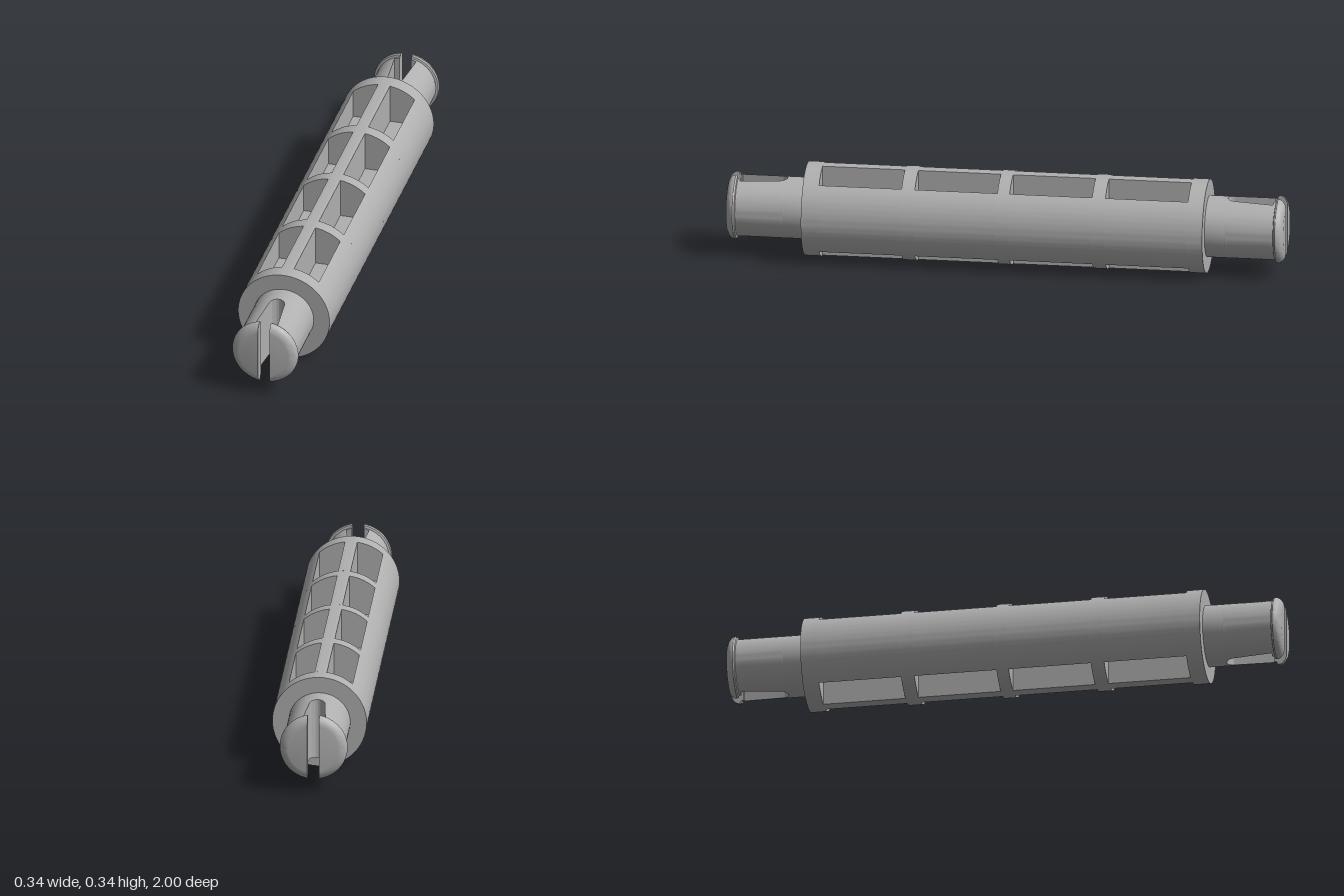
import * as THREE from 'three';
import { toCreasedNormals } from 'three/addons/utils/BufferGeometryUtils.js';

const R = 0.168;         // barrel radius
const NECK = 0.11;       // neck radius
const WEB = 0.022;       // half thickness of the inner ribs
const POCKET = 0.113;    // outer edge of the pockets
const BODY = 0.72;       // half length of the barrel
const plastic = new THREE.MeshStandardMaterial({ color: 0xb0b0b0 });
plastic.name = 'grey plastic';

function addMesh(parent, geometry, name) {
  const mesh = new THREE.Mesh(toCreasedNormals(geometry, 0.6), plastic);
  mesh.name = name;
  parent.add(mesh);
  return mesh;
}

// Slab of the barrel between two z positions
function slab(parent, shape, z0, z1, curveSegments, name) {
  const geo = new THREE.ExtrudeGeometry(shape, { depth: z1 - z0, bevelEnabled: false, curveSegments });
  geo.translate(0, 0, z0);
  addMesh(parent, geo, name);
}

function discShape() {
  return new THREE.Shape().absarc(0, 0, R, 0, Math.PI * 2, false);
}

// Barrel section with two pockets above and two below the cross rib
function pocketShape() {
  const a = Math.acos(POCKET / R), b = Math.acos(WEB / R), pi = Math.PI;
  const s = new THREE.Shape();
  s.absarc(0, 0, R, -a, a, false);
  s.lineTo(POCKET, WEB);
  s.lineTo(WEB, WEB);
  s.absarc(0, 0, R, b, pi - b, false);
  s.lineTo(-WEB, WEB);
  s.lineTo(-POCKET, WEB);
  s.absarc(0, 0, R, pi - a, pi + a, false);
  s.lineTo(-POCKET, -WEB);
  s.lineTo(-WEB, -WEB);
  s.absarc(0, 0, R, pi + b, 2 * pi - b, false);
  s.lineTo(WEB, -WEB);
  s.lineTo(POCKET, -WEB);
  s.closePath();
  return s;
}

// One springy half of a tip: D-shaped sections [z, radius, slot half width]
function prongGeometry() {
  const rows = [];
  for (let i = 0; i <= 8; i++) {
    const t = (i / 8) * Math.PI / 2;
    rows.push([0.818 - 0.028 * Math.cos(t), NECK, 0.028 * Math.sin(t)]);
  }
  rows.push([0.957, NECK, 0.04], [0.957, NECK, 0.021]);
  const lip = [[0.965, 0.11], [0.967, 0.118], [0.973, 0.121], [0.98, 0.12],
    [0.987, 0.116], [0.993, 0.109], [0.998, 0.1], [1, 0.09]];
  for (const [z, r] of lip) rows.push([z, r, 0.021]);

  const n = 33, pos = [], index = [];
  rows.forEach(([z, r, w]) => {
    const a = Math.acos(w / r);
    for (let j = 0; j < n; j++) {
      const t = -a + (2 * a * j) / (n - 1);
      pos.push(r * Math.cos(t), r * Math.sin(t), z);
    }
  });
  for (let i = 0; i < rows.length - 1; i++) {
    for (let j = 0; j < n; j++) {
      const k = (j + 1) % n;
      const a = i * n + j, b = i * n + k, c = b + n, d = a + n;
      index.push(a, b, c, a, c, d);
    }
  }
  const last = (rows.length - 1) * n;
  for (let j = 1; j < n - 1; j++) index.push(last, last + j, last + j + 1);
  const geo = new THREE.BufferGeometry();
  geo.setAttribute('position', new THREE.Float32BufferAttribute(pos, 3));
  geo.setIndex(index);
  return geo;
}

export function createModel() {
  const model = new THREE.Group();
  model.name = 'pin';
  const pin = new THREE.Group();
  pin.name = 'pinBody';
  pin.position.y = R;
  model.add(pin);

  // Barrel: solid rings alternating with pocketed sections
  const cuts = [-BODY, -0.662, -0.366, -0.318, -0.022, 0.022, 0.318, 0.366, 0.662, BODY];
  for (let i = 0; i < cuts.length - 1; i++) {
    if (i % 2 === 0) slab(pin, discShape(), cuts[i], cuts[i + 1], 64, 'barrelRing');
    else slab(pin, pocketShape(), cuts[i], cuts[i + 1], 20, 'pocketSection');
  }

  // Slotted tip at each end
  for (const end of ['front', 'back']) {
    const tip = new THREE.Group();
    tip.name = end + 'Tip';
    if (end === 'back') tip.rotation.y = Math.PI;
    pin.add(tip);

    const neck = new THREE.CylinderGeometry(NECK, NECK, 0.79 - BODY, 64);
    neck.rotateX(Math.PI / 2);
    neck.translate(0, 0, (0.79 + BODY) / 2);
    addMesh(tip, neck, 'neck');

    for (const turn of [0, Math.PI]) {
      addMesh(tip, prongGeometry(), 'prong').rotation.z = turn;
    }
  }
  return model;
}
